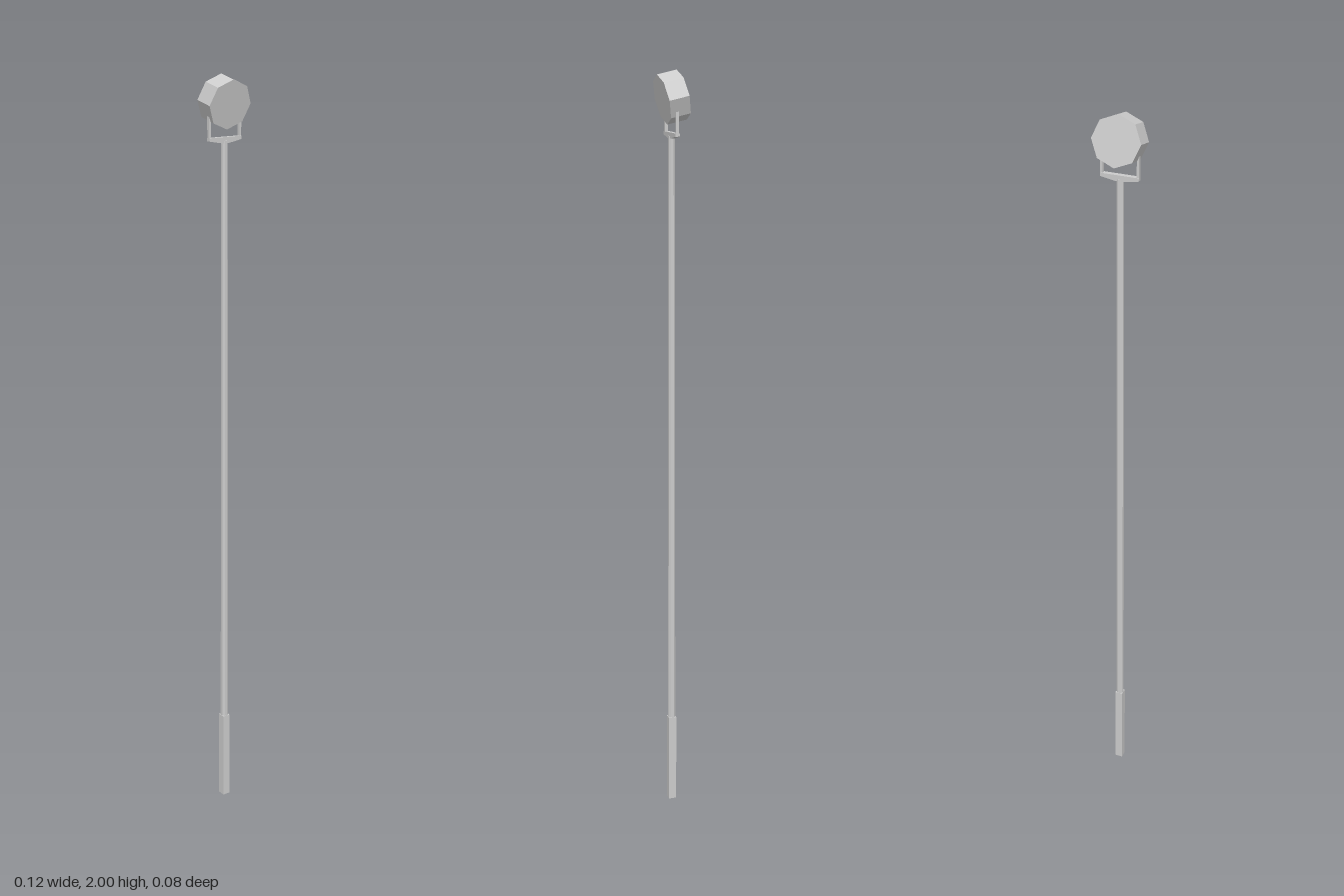
import * as THREE from 'three';

export function createModel() {
  const root = new THREE.Group();
  const material = new THREE.MeshStandardMaterial({ color: 0xcccccc, flatShading: true });

  const add = (name, geometry, x = 0, y = 0, z = 0, parent = root) => {
    const mesh = new THREE.Mesh(geometry, material);
    mesh.name = name;
    mesh.position.set(x, y, z);
    parent.add(mesh);
    return mesh;
  };

  // Square foot sleeve and slightly tapered pole
  add('poleBase', new THREE.BoxGeometry(0.021, 0.25, 0.021), 0, 0.125, 0);
  const pole = new THREE.CylinderGeometry(0.0085, 0.0105, 1.59, 8);
  pole.rotateY(Math.PI / 8);
  add('pole', pole, 0, 1.045, 0);

  // Yoke: crossbar with a shallow wedge underneath, and two upright arms
  const yoke = new THREE.Group();
  yoke.name = 'yoke';
  root.add(yoke);
  const bar = new THREE.Shape([
    [-0.049, 1.849], [-0.049, 1.841], [-0.01, 1.834],
    [0.01, 1.834], [0.049, 1.841], [0.049, 1.849],
  ].map(([x, y]) => new THREE.Vector2(x, y)));
  const barDepth = 0.012;
  add('yokeBar', new THREE.ExtrudeGeometry(bar, { depth: barDepth, bevelEnabled: false }),
    0, 0, -barDepth / 2, yoke);
  for (const side of [-1, 1]) {
    add(side > 0 ? 'leftYokeArm' : 'rightYokeArm',
      new THREE.BoxGeometry(0.006, 0.075, 0.008), side * 0.046, 1.8825, 0, yoke);
  }

  // Eight-sided lamp head, tipped to shine slightly downward
  const drum = new THREE.CylinderGeometry(0.0622, 0.0622, 0.0525, 8);
  drum.rotateX(Math.PI / 2);
  const head = add('lampHead', drum, 0, 1.934, -0.001);
  head.rotation.x = THREE.MathUtils.degToRad(12.5);

  return root;
}
